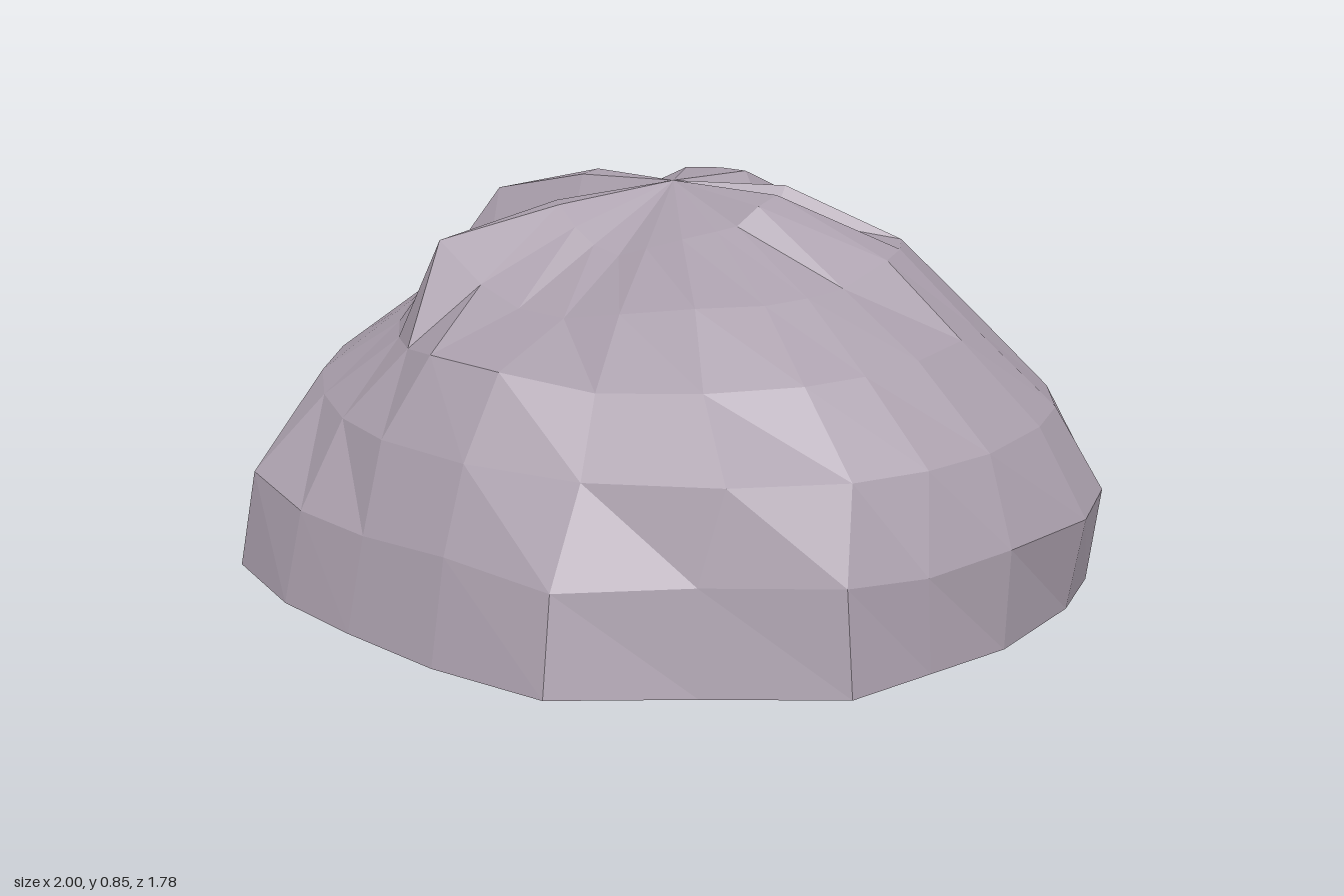
import * as THREE from 'three';

export function createModel() {
  const group = new THREE.Group();
  const stone = new THREE.MeshStandardMaterial({ color: 0xa99eab, flatShading: true });
  stone.name = 'mauve grey stone';

  // Corners of the base (x, z), from +x towards +z
  const base = [
    [0.97, -0.02], [0.92, 0.24], [0.83, 0.42], [0.74, 0.6], [0.48, 0.74], [0.22, 0.89],
    [-0.05, 0.88], [-0.3, 0.83], [-0.52, 0.77], [-0.75, 0.65], [-0.85, 0.43], [-0.96, 0.2],
    [-1, -0.03], [-1, -0.27], [-0.86, -0.43], [-0.75, -0.6], [-0.5, -0.74], [-0.23, -0.86],
    [0.05, -0.87], [0.3, -0.89], [0.47, -0.76], [0.71, -0.58], [0.88, -0.4], [0.96, -0.2]];
  const n = base.length;

  // Upper rings: half width, half depth, height, and ledges or hollows at each corner
  const rings = [
    { w: 0.89, d: 0.765, y: 0.4, bumps: [1, 0.99, 0.98, 0.97, 1, 0.97, 0.98, 0.97, 0.95, 0.94, 0.95, 0.96,
      0.98, 1, 1, 1, 1, 1.02, 1, 1.01, 1.01, 1, 1, 1.01] },
    { w: 0.71, d: 0.645, y: 0.565, bumps: [1, 0.99, 0.97, 0.96, 0.95, 0.93, 0.98, 0.98, 0.93, 0.9, 0.9, 0.92,
      0.95, 0.93, 0.97, 0.98, 1, 1, 1, 1.01, 0.99, 1, 1, 1] },
    { w: 0.52, d: 0.46, y: 0.7, bumps: [1.03, 0.97, 0.96, 0.95, 0.95, 0.92, 0.88, 0.88, 0.93, 1.04, 0.98, 0.95,
      0.95, 1.09, 1.07, 0.97, 1, 1, 1.03, 1.04, 1, 1, 1.04, 1.04] },
    { w: 0.26, d: 0.22, y: 0.8, bumps: [1.05, 1.03, 0.98, 0.97, 0.95, 0.92, 0.89, 0.91, 0.95, 1, 1, 0.98,
      0.95, 1.04, 1.05, 0.99, 1, 1.05, 1.06, 1.06, 0.99, 1.02, 1.06, 0.98] },
  ];

  // Base ring, and a foot ring that leans in at front and back and out at +x
  const points = [
    base.map(([x, z]) => new THREE.Vector3(x, 0, z)),
    base.map(([x, z], k) => {
      const lean = 1 - (z > 0 ? 0.065 : 0.03) * Math.abs(z) + 0.04 * Math.max(x, 0) ** 8;
      return new THREE.Vector3(x * lean, 0.21 + 0.012 * Math.sin(k * 2.3), z * lean);
    }),
  ];
  for (const { w, d, y, bumps } of rings) {
    points.push(base.map(([x, z], k) => {
      const r = bumps[k] / Math.hypot(x, z);
      return new THREE.Vector3(x * r * w, Math.min(y * bumps[k], 0.845), z * r * d);
    }));
  }

  const build = (name, triangles) => {
    const geometry = new THREE.BufferGeometry().setFromPoints(triangles);
    geometry.computeVertexNormals();
    const mesh = new THREE.Mesh(geometry, stone);
    mesh.name = name;
    group.add(mesh);
  };

  const sides = [], crown = [], underside = [];
  const apex = new THREE.Vector3(0, 0.845, -0.03);
  const centre = new THREE.Vector3();
  const top = points.length - 1;
  for (let k = 0; k < n; k++) {
    const m = (k + 1) % n;
    // Faceted wall, ring by ring
    for (let j = 0; j < top; j++) {
      const a = points[j][k], b = points[j][m], c = points[j + 1][m], d = points[j + 1][k];
      sides.push(a, d, c, a, c, b);
    }
    // Fan to the peak and flat base
    crown.push(points[top][k], apex, points[top][m]);
    underside.push(points[0][k], points[0][m], centre);
  }
  build('rockSides', sides);
  build('rockCrown', crown);
  build('rockUnderside', underside);
  return group;
}
